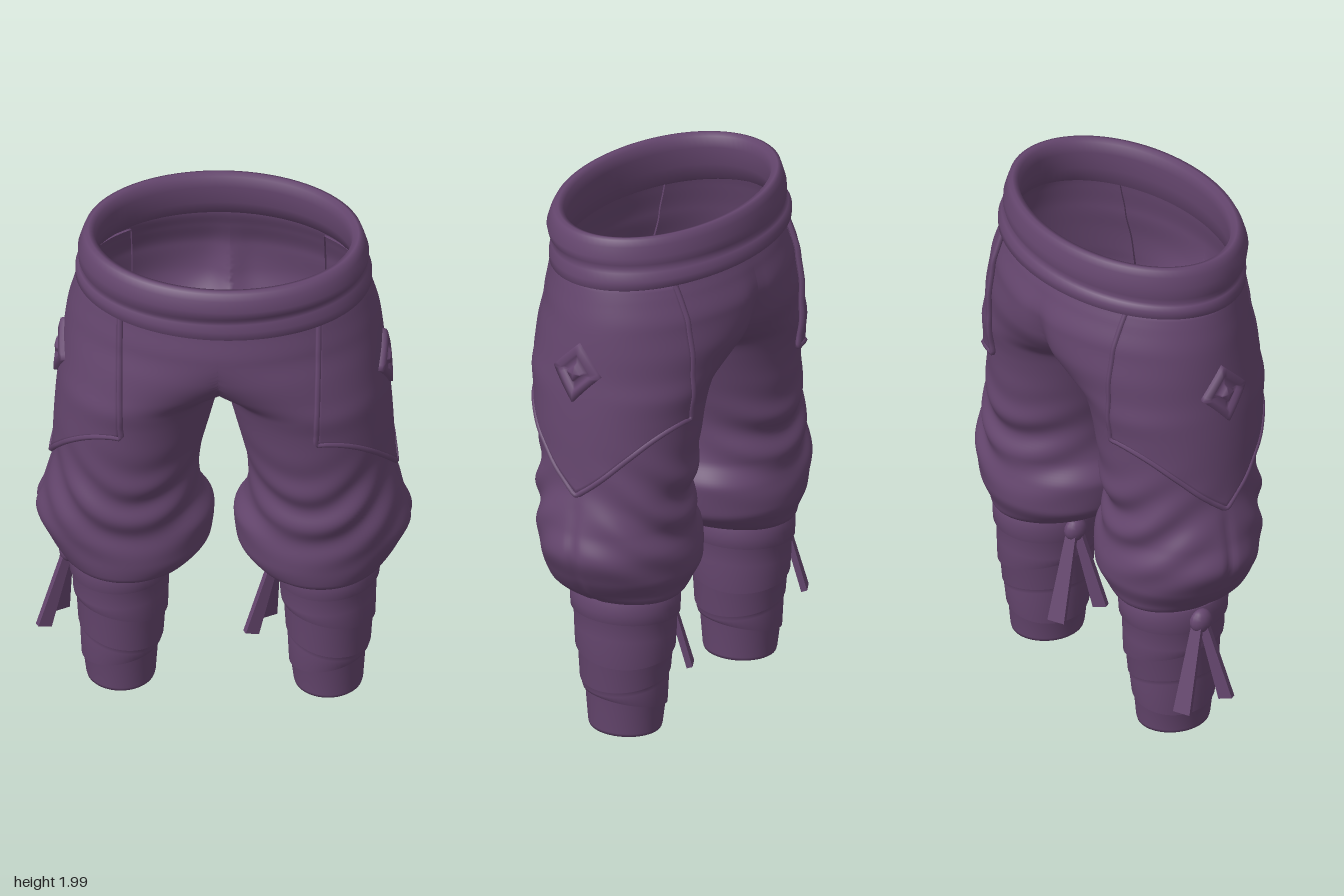
import * as THREE from 'three';
import { mergeVertices } from 'three/addons/utils/BufferGeometryUtils.js';

const TAU = Math.PI * 2;
const gauss = (x, w) => Math.exp(-(x * x) / (w * w));

// Trouser half sections: height, inner x, outer x, front z, back z
const SECTIONS = [
  [0.555, 0.20, 0.54, 0.15, -0.25],
  [0.57, 0.16, 0.56, 0.21, -0.27],
  [0.60, 0.10, 0.588, 0.25, -0.28],
  [0.67, 0.045, 0.635, 0.262, -0.305],
  [0.77, 0.035, 0.675, 0.263, -0.30],
  [0.86, 0.075, 0.65, 0.272, -0.285],
  [0.95, 0.09, 0.622, 0.283, -0.285],
  [1.05, 0.08, 0.60, 0.29, -0.295],
  [1.2, 0.045, 0.592, 0.308, -0.30],
  [1.3, 0.02, 0.585, 0.32, -0.31],
  [1.37, 0, 0.578, 0.335, -0.325],
  [1.45, -0.15, 0.568, 0.35, -0.345],
  [1.55, -0.36, 0.558, 0.367, -0.378],
  [1.65, -0.54, 0.545, 0.372, -0.39],
  [1.75, -0.52, 0.52, 0.358, -0.36],
  [1.83, -0.50, 0.50, 0.35, -0.335],
];

// Smooth interpolation of the sections at a height
function section(y) {
  const S = SECTIONS, n = S.length - 1;
  y = Math.min(Math.max(y, S[0][0]), S[n][0]);
  let i = 0;
  while (i < n - 1 && y > S[i + 1][0]) i++;
  const h = S[i + 1][0] - S[i][0], t = (y - S[i][0]) / h;
  const slope = (k, c) => {
    if (k === 0 || k === n) return 0;
    const a = (S[k][c] - S[k - 1][c]) / (S[k][0] - S[k - 1][0]);
    const b = (S[k + 1][c] - S[k][c]) / (S[k + 1][0] - S[k][0]);
    return a * b <= 0 ? 0 : (2 * a * b) / (a + b);
  };
  const t2 = t * t, t3 = t2 * t;
  const [x0, x1, zf, zb] = [1, 2, 3, 4].map((c) =>
    (2 * t3 - 3 * t2 + 1) * S[i][c] + (t3 - 2 * t2 + t) * h * slope(i, c) +
    (3 * t2 - 2 * t3) * S[i + 1][c] + (t3 - t2) * h * slope(i + 1, c));
  return { cx: (x0 + x1) / 2, rx: (x1 - x0) / 2, cz: (zf + zb) / 2, rz: (zf - zb) / 2 };
}

// Point on the cloth of the +x half, pushed out by `off`
function cloth(a, y, off = 0) {
  const { cx, rx, cz, rz } = section(y), c = Math.cos(a), s = Math.sin(a);
  // hanging folds above the cuff, and the outer side seam
  const swag = y + 0.16 * s * s - 0.07 * c;
  off += 0.013 * Math.sin(swag * 38) * gauss(y - 0.92, 0.17) * Math.abs(s);
  const side = Math.atan2(s, c);
  if (y < 1.02) off -= 0.012 * gauss(side, 0.07) * gauss(y - 0.75, 0.2);
  let nx = c / rx, nz = s / rz;
  const l = Math.hypot(nx, nz);
  nx /= l; nz /= l;
  const x = Math.max(0, cx + rx * c + nx * off);
  let z = cz + rz * s + nz * off;
  // seam down the middle of the seat
  if (s < 0 && y > 1.4) z += 0.022 * gauss(x, 0.05) * gauss(y - 1.58, 0.12);
  return [x, y, z];
}

// Grid surface from a rule; u runs around from +x to +z, v runs up
function grid(fn, nu, nv, mirror = false) {
  const pos = [], idx = [], w = nu + 1;
  for (const m of mirror ? [1, -1] : [1]) {
    const base = pos.length / 3;
    for (let j = 0; j <= nv; j++)
      for (let i = 0; i <= nu; i++) {
        const p = fn(i, j);
        pos.push(p[0] * m, p[1], p[2]);
      }
    // faces lying on the middle plane are left out, which opens the hips
    const tri = (a, b, c) => {
      if (mirror && [a, b, c].every((k) => Math.abs(pos[k * 3]) < 1e-6)) return;
      if (m > 0) idx.push(a, b, c); else idx.push(a, c, b);
    };
    for (let j = 0; j < nv; j++)
      for (let i = 0; i < nu; i++) {
        const a = base + j * w + i, b = a + 1, d = a + w, c = d + 1;
        tri(a, d, c);
        tri(a, c, b);
      }
  }
  let g = new THREE.BufferGeometry();
  g.setAttribute('position', new THREE.Float32BufferAttribute(pos, 3));
  g.setIndex(idx);
  g = mergeVertices(g, 1e-5);
  g.computeVertexNormals();
  return g;
}

// Closed ring from a profile: height, half width, front z, back z, tilt in z, tilt in x
function ring(rows, n) {
  return grid((i, j) => {
    const [y, rx, zf, zb, tz = 0, tx = 0] = rows[j];
    const a = ((i % n) / n) * TAU, c = Math.cos(a), s = Math.sin(a);
    return [rx * c, y + tz * s + tx * c, (zf + zb) / 2 + ((zf - zb) / 2) * s];
  }, n, rows.length - 1);
}

export function createModel() {
  const purple = new THREE.MeshStandardMaterial({ color: 0x65466e, side: THREE.DoubleSide });
  purple.name = 'purpleCloth';
  const model = new THREE.Group();
  model.name = 'wrappedTrousers';
  const add = (name, geo, parent = model) => {
    const m = new THREE.Mesh(geo, purple);
    m.name = name;
    parent.add(m);
    return m;
  };

  // Baggy trousers: both legs and the hips in one skin
  const NA = 128, NY = 120;
  add('trousers', grid((i, j) => cloth(((i % NA) / NA) * TAU, 0.555 + (1.275 * j) / NY), NA, NY, true));

  // Folded waistband, higher at the back
  add('waistband', ring([
    [1.80, 0.485, 0.34, -0.33, -0.025],
    [1.782, 0.518, 0.37, -0.37, -0.028],
    [1.79, 0.532, 0.385, -0.384, -0.028],
    [1.82, 0.532, 0.386, -0.384, -0.026],
    [1.845, 0.522, 0.38, -0.372, -0.022, 0.01],
    [1.855, 0.512, 0.374, -0.36, -0.02, 0.012],
    [1.875, 0.52, 0.392, -0.366, -0.02, 0.01],
    [1.91, 0.522, 0.4, -0.366, -0.02],
    [1.95, 0.51, 0.388, -0.355, -0.02],
    [1.975, 0.5, 0.375, -0.347, -0.02],
    [1.98, 0.485, 0.358, -0.333, -0.02],
    [1.972, 0.464, 0.337, -0.312, -0.02],
    [1.93, 0.456, 0.33, -0.306, -0.02],
    [1.86, 0.465, 0.335, -0.312, -0.02],
    [1.80, 0.485, 0.34, -0.33, -0.025],
  ], 96));

  // Side pocket panels: edges hang straight down, then meet in a point at the side
  const edgeAngle = (y) => {
    const { cx, rx } = section(y);
    return Math.acos((0.35 - cx) / rx);
  };
  const lowEdge = (u) => 1.0 + 0.28 * Math.pow(Math.abs(Math.sin((u * Math.PI) / 2)), 1.15);
  const panelPoint = (u, v, off) => {
    const y = lowEdge(u) + (1.8 - lowEdge(u)) * v;
    return cloth(u * edgeAngle(y), y, off);
  };
  const NU = 50, NV = 36, clamp01 = (t) => Math.min(1, Math.max(0, t));
  const panelGeo = grid((i, j) => {
    const rim = i === 0 || i === NU || j === 0 || j === NV;
    const u = clamp01((i - 1) / (NU - 2)) * 2 - 1, v = clamp01((j - 1) / (NV - 2));
    return panelPoint(u, v, rim ? -0.01 : 0.016);
  }, NU, NV);

  // Stitched welt around the panel edge
  const path = [];
  for (let k = 12; k > 0; k--) path.push([-1, k / 12]);
  for (let k = 0; k <= 32; k++) path.push([k / 16 - 1, 0]);
  for (let k = 1; k <= 12; k++) path.push([1, k / 12]);
  const weltCurve = new THREE.CatmullRomCurve3(
    path.map(([u, v]) => new THREE.Vector3(...panelPoint(u, v, 0.012))));
  const weltGeo = new THREE.TubeGeometry(weltCurve, 160, 0.011, 6);

  // Diamond patch: raised frame, sunken middle, small centre stud
  const profile = [[1, 0.005], [0.96, 0.03], [0.66, 0.034], [0.58, 0.02], [0.32, 0.02], [0.26, 0.036], [0, 0.04]];
  const ND = 32;
  const diamondGeo = grid((i, j) => {
    const t = ((i % ND) / ND) * 4, q = Math.floor(t), f = t - q;
    const corner = [[0, -1], [1, 0], [0, 1], [-1, 0]];
    const [a, b] = [corner[q], corner[(q + 1) % 4]];
    const [r, off] = profile[j];
    const dz = (a[0] + (b[0] - a[0]) * f) * r, dy = (a[1] + (b[1] - a[1]) * f) * r;
    return cloth(0.05 + dz * 0.28, 1.47 + dy * 0.115, off);
  }, ND, profile.length - 1);

  for (const side of [1, -1]) {
    const pocket = new THREE.Group();
    pocket.name = side > 0 ? 'leftPocket' : 'rightPocket';
    pocket.scale.x = side;
    add('pocketPanel', panelGeo, pocket);
    add('pocketWelt', weltGeo, pocket);
    add('diamondPatch', diamondGeo, pocket);
    model.add(pocket);
  }

  // Shin wraps: overlapping tilted bands, hollow inside
  const band = (y, r, tz = 0, tx = 0) => [y, r, r * 1.1, -r * 1.1, tz, tx];
  const wrapGeo = ring([
    band(0.008, 0.098), band(0.008, 0.122), band(0.02, 0.125),
    band(0.12, 0.134, 0.01, 0.03), band(0.125, 0.141, 0.01, 0.03), band(0.2, 0.147, -0.01, -0.03),
    band(0.215, 0.146, -0.01, -0.03), band(0.22, 0.153, -0.01, -0.03),
    band(0.33, 0.16, 0.015, -0.035), band(0.335, 0.169, 0.015, -0.035),
    band(0.4, 0.172, 0, 0.01), band(0.47, 0.174, 0, 0.008), band(0.475, 0.184, 0, 0.008),
    band(0.52, 0.186), band(0.56, 0.184), band(0.566, 0.175), band(0.56, 0.15),
    band(0.3, 0.13), band(0.008, 0.098),
  ], 56);

  // Flat ribbon between two points
  const ribbon = (name, from, to, width, parent) => {
    const a = new THREE.Vector3(...from), d = new THREE.Vector3(...to).sub(a);
    const g = new THREE.BoxGeometry(width, d.length(), 0.022);
    const p = g.attributes.position;
    for (let k = 0; k < p.count; k++) if (p.getY(k) > 0) p.setX(k, p.getX(k) * 0.6);
    const m = add(name, g, parent);
    m.position.copy(a).addScaledVector(d, 0.5);
    m.quaternion.setFromUnitVectors(new THREE.Vector3(0, -1, 0), d.normalize());
    m.rotateY(0.5);
  };

  for (const x of [0.372, -0.372]) {
    const shin = new THREE.Group();
    shin.name = x > 0 ? 'leftShinWrap' : 'rightShinWrap';
    shin.position.set(x, 0, -0.052);
    add('wrap', wrapGeo, shin);
    // both knots are tied on the same side
    const knot = add('knot', new THREE.SphereGeometry(0.045, 14, 10), shin);
    knot.scale.set(0.75, 1.05, 1);
    knot.position.set(-0.19, 0.515, -0.02);
    ribbon('longRibbon', [-0.195, 0.5, -0.04], [-0.225, 0.18, -0.13], 0.065, shin);
    ribbon('flaredRibbon', [-0.195, 0.5, -0.01], [-0.275, 0.21, 0.03], 0.055, shin);
    model.add(shin);
  }
  return model;
}
